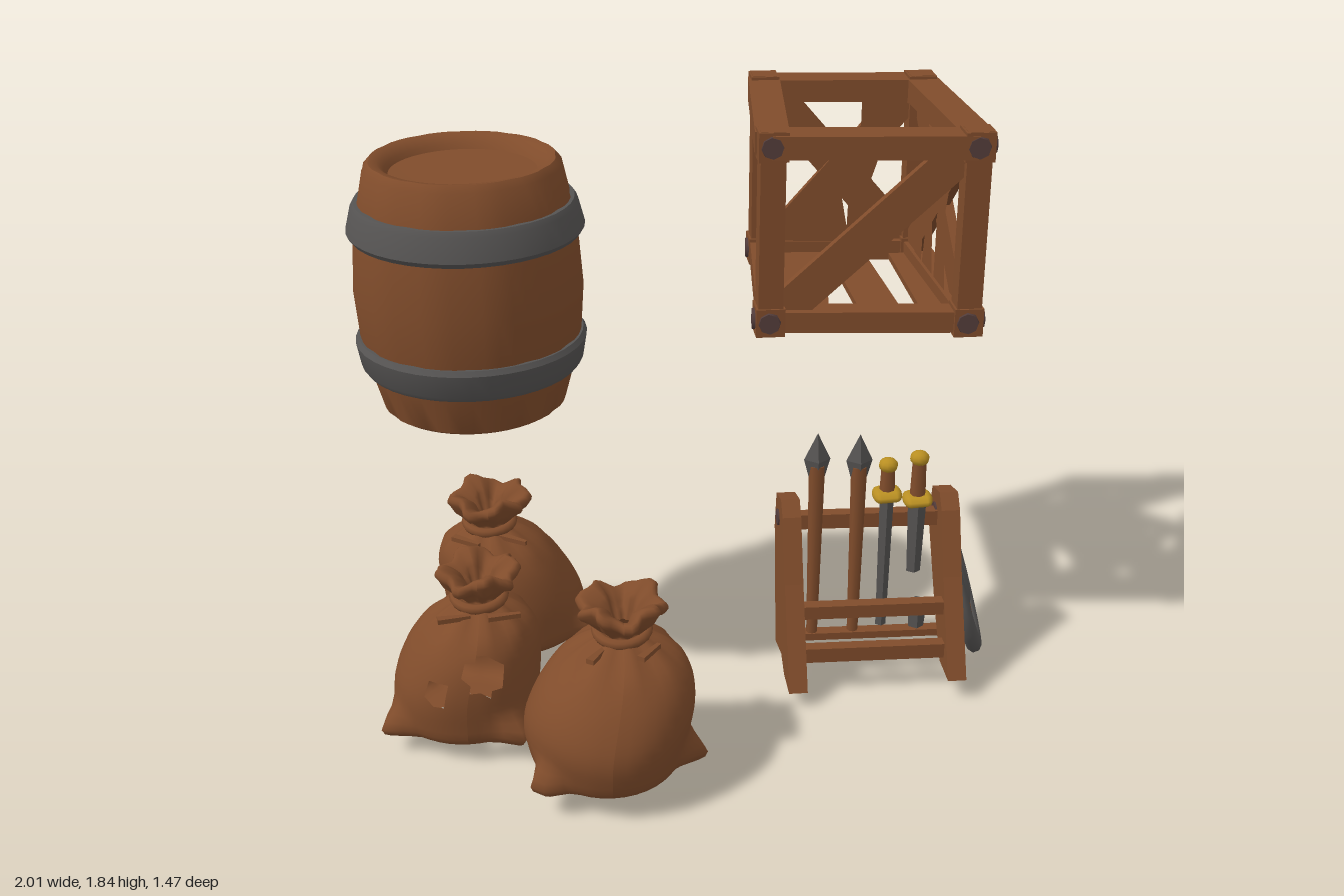
import * as THREE from 'three';
import { toCreasedNormals } from 'three/addons/utils/BufferGeometryUtils.js';

const material = (name, color, side = THREE.FrontSide) => {
  const m = new THREE.MeshStandardMaterial({ color, side });
  m.name = name;
  return m;
};
const V = (x, y, z) => new THREE.Vector3(x, y, z);
const P = (x, y) => new THREE.Vector2(x, y);

export function createModel() {
  const wood = material('brown', 0x804c2b, THREE.DoubleSide);
  const iron = material('iron grey', 0x555352);
  const gold = material('gold', 0xb98f22);
  const nailMat = material('dark nail', 0x523c3a);
  const root = new THREE.Group();

  const group = (name, parent = root) => {
    const g = new THREE.Group();
    g.name = name;
    parent.add(g);
    return g;
  };
  const add = (parent, name, geo, mat, x = 0, y = 0, z = 0) => {
    const m = new THREE.Mesh(geo, mat);
    m.name = name;
    m.position.set(x, y, z);
    parent.add(m);
    return m;
  };
  // Timber running from a to b; taper scales the width of the far end
  const beam = (parent, name, a, b, w, h, taper = 1) => {
    const geo = new THREE.BoxGeometry(w, h, a.distanceTo(b));
    const p = geo.attributes.position;
    for (let i = 0; i < p.count; i++) if (p.getZ(i) > 0) p.setX(i, p.getX(i) * taper);
    geo.computeVertexNormals();
    const m = add(parent, name, geo, wood);
    m.position.copy(a).lerp(b, 0.5);
    m.lookAt(b);
    return m;
  };
  // Removes the faces whose centre lies in one of the [x, y, z, radius] spheres
  const tear = (geo, holes) => {
    const p = geo.attributes.position, src = geo.index.array, kept = [];
    for (let i = 0; i < src.length; i += 3) {
      const c = V(0, 0, 0);
      for (let k = 0; k < 3; k++) c.add(V(0, 0, 0).fromBufferAttribute(p, src[i + k]));
      c.divideScalar(3);
      if (!holes.some(h => c.distanceTo(V(h[0], h[1], h[2])) < h[3])) kept.push(src[i], src[i + 1], src[i + 2]);
    }
    geo.setIndex(kept);
    return geo;
  };

  // Barrel with grooved staves, recessed ends and two hoops
  const barrel = group('barrel');
  barrel.position.set(-0.655, 0, -0.11);
  const staves = new THREE.LatheGeometry([
    P(0, 1.04), P(0.21, 1.05), P(0.23, 1.01), P(0.26, 1), P(0.275, 1.01), P(0.305, 1.12), P(0.33, 1.24),
    P(0.34, 1.38), P(0.33, 1.52), P(0.312, 1.63), P(0.288, 1.74), P(0.27, 1.76), P(0.245, 1.755),
    P(0.225, 1.735), P(0.215, 1.72), P(0, 1.715)], 48);
  const sp = staves.attributes.position;
  for (let i = 0; i < sp.count; i++) {
    const k = Math.round((Math.atan2(sp.getZ(i), sp.getX(i)) / Math.PI / 2) * 48 + 48) % 4;
    if (k === 0 && Math.hypot(sp.getX(i), sp.getZ(i)) > 0.27) {
      sp.setX(i, sp.getX(i) * 0.985);
      sp.setZ(i, sp.getZ(i) * 0.985);
    }
  }
  add(barrel, 'barrelStaves', toCreasedNormals(staves, 0.6), wood);
  for (const [y, lean] of [[1.182, 0.007], [1.592, -0.008]]) {
    add(barrel, 'barrelHoop', toCreasedNormals(new THREE.LatheGeometry([
      P(0.30, -0.05), P(0.33 - lean, -0.05), P(0.34 - lean, -0.035), P(0.338 + lean, 0.035),
      P(0.328 + lean, 0.05), P(0.30, 0.05)], 40), 0.7), iron, 0, y, 0);
  }

  // Crate: plan corners, going round from the front
  const crate = group('crate');
  const corners = [[0.235, -0.05], [0.825, 0.005], [0.795, -0.645], [0.295, -0.685]];
  const lo = 1.25, hi = 1.79, mid = V(0.54, 1.52, -0.34);
  corners.forEach(([x, z], i) => {
    const [nx, nz] = corners[(i + 1) % 4];
    const at = (t, y, inset = 0) => V(x + (nx - x) * t, y, z + (nz - z) * t)
      .lerp(V(mid.x, y, mid.z), inset);
    const front = i === 0;
    beam(crate, 'cratePost', V(x, 1.205, z), V(x, 1.835, z), 0.075, 0.075);
    beam(crate, 'crateTopRail', at(0, hi), at(1, hi), 0.1, 0.07);
    beam(crate, 'crateBottomRail', at(0, lo), at(1, lo), 0.075, 0.065);
    for (const y of [lo, hi]) add(crate, 'crateCorner', new THREE.BoxGeometry(0.088, 0.088, 0.088), wood, x, y, z);
    // Diagonal braces, crossed everywhere but the front, with splintered boards inside
    beam(crate, 'crateBrace', at(0.06, lo + 0.02), at(0.94, hi - 0.02), 0.03, 0.11);
    if (!front) {
      beam(crate, 'crateBrace', at(0.06, hi - 0.02, 0.04), at(0.94, lo + 0.02, 0.04), 0.025, 0.1);
      for (const [t0, y0, t1, y1, w] of [[0.3, lo, 0.36, 1.62, 0.13], [0.55, lo, 0.54, 1.5, 0.13],
        [0.22, hi, 0.3, 1.5, 0.13], [0.75, lo, 0.68, 1.45, 0.09]]) {
        const a = at(t0, y0, 0.1), b = at(t1, y1, 0.1);
        const along = at(1, 0).sub(at(0, 0)).normalize().multiplyScalar(w / 2);
        const board = new THREE.BufferGeometry().setFromPoints([
          a.clone().sub(along), a.clone().add(along), b.clone().addScaledVector(along, 0.45), b.clone().addScaledVector(along, -0.2)]);
        board.setIndex([0, 1, 2, 0, 2, 3]);
        board.computeVertexNormals();
        add(crate, 'crateSplinter', board, wood);
      }
    }
    // Nail heads: all corners of the front and left faces, lower corners elsewhere
    const out = V(-(nz - z), 0, nx - x).normalize();
    for (const t of [0, 1]) for (const y of i < 2 ? [lo, hi] : [lo]) {
      const n = add(crate, 'crateNail', new THREE.CylinderGeometry(0.032, 0.036, 0.014, 8), nailMat);
      n.position.copy(at(t, y)).addScaledVector(out, 0.045);
      n.quaternion.setFromUnitVectors(V(0, 1, 0), out);
    }
  });
  // Broken floor boards
  for (const [x0, x1, z1, w, taper] of [[0.34, 0.4, -0.65, 0.15, 1.4], [0.59, 0.57, -0.65, 0.13, 0.9], [0.76, 0.74, -0.6, 0.1, 0.6]])
    beam(crate, 'crateFloorBoard', V(x0, 1.235, -0.02), V(x1, 1.235, z1), w, 0.02, taper);
  beam(crate, 'crateFloorBoard', V(0.26, 1.23, -0.08), V(0.82, 1.23, -0.04), 0.12, 0.02);

  // Sacks: a lathed body with pulled-out bottom corners and a pleated, tied neck
  const profile = new THREE.SplineCurve([
    P(0, 0.05), P(0.12, 0.045), P(0.21, 0.055), P(0.24, 0.13), P(0.25, 0.22), P(0.23, 0.31), P(0.185, 0.38), P(0.12, 0.43),
    P(0.065, 0.463), P(0.08, 0.49), P(0.125, 0.54), P(0.11, 0.565), P(0.06, 0.535), P(0.03, 0.48)]).getPoints(48);
  profile[0].x = 0;
  const sack = (x, z, dx, dz, size, slump, lift, tips, holes) => {
    const g = group('sack');
    g.position.set(x, lift, z);
    const geo = new THREE.LatheGeometry(profile, 40);
    const p = geo.attributes.position;
    for (let i = 0; i < p.count; i++) {
      const y = p.getY(i), a = Math.atan2(p.getZ(i), p.getX(i));
      let r = Math.hypot(p.getX(i), p.getZ(i)) * size;
      r *= 1 - slump * Math.sin(Math.PI * THREE.MathUtils.clamp((y - 0.08) / 0.4, 0, 1));
      const pleat = THREE.MathUtils.smoothstep(y, 0.34, 0.46);
      r *= 1 + 0.1 * pleat * Math.cos(9 * a) + 0.025 * Math.sin(3 * a + x * 9) * Math.sin(y * 14);
      for (const tip of tips) {
        const d = Math.atan2(Math.sin(a - tip), Math.cos(a - tip));
        r *= 1 + 0.36 * Math.exp(-((d / 0.18) ** 2)) * (1 - THREE.MathUtils.smoothstep(y, 0.07, 0.17));
      }
      const k = THREE.MathUtils.smoothstep(y, 0.15, 0.46);
      const ruffle = y > 0.52 ? 0.016 * Math.sin(4 * a + x * 5) : 0;
      p.setXYZ(i, r * Math.cos(a) + dx * k, y + ruffle, r * Math.sin(a) + dz * k);
    }
    geo.computeVertexNormals();
    add(g, 'sackCloth', tear(geo, holes), wood);
    const tie = add(g, 'sackTie', new THREE.TorusGeometry(0.075, 0.016, 8, 24), wood, dx, 0.465, dz);
    tie.rotation.x = Math.PI / 2 + 0.12;
    for (const s of [-1, 1])
      beam(g, 'sackTieEnd', V(dx + 0.05 * s, 0.465, dz + 0.06), V(dx + 0.1 * s, 0.415, dz + 0.13), 0.025, 0.015, 0.5);
  };
  sack(-0.3, 0.475, 0.05, -0.05, 1, 0, 0.015, [0.12, 2.45], []);
  sack(-0.72, 0.16, 0.05, 0, 0.95, 0.07, 0, [0.9, 2.7, 4.4],
    [[0.06, 0.3, 0.2, 0.06], [-0.1, 0.25, 0.21, 0.045], [0.02, 0.04, 0.03, 0.11]]);
  sack(-0.57, -0.33, -0.07, 0.02, 1, 0.12, 0.005, [0.3, 4, 5.2],
    [[-0.1, 0.3, -0.2, 0.07], [-0.2, 0.2, -0.12, 0.05], [-0.02, 0.04, -0.02, 0.13]]);

  // Weapon rack: two leaning side frames joined by rails
  const rack = group('weaponRack');
  const upper = [P(-0.225, 0.45), P(-0.2, 0.58), P(-0.1, 0.605), P(-0.06, 0.56), P(0.02, 0.36)];
  for (const [x, foot] of [[0.293, [P(0.165, 0.045), P(0.05, 0.045), P(-0.02, 0.08), P(-0.15, 0.05)]],
    [0.808, [P(0.165, 0.06), P(0.04, 0.06), P(-0.07, 0.2)]]]) {
    const geo = new THREE.ExtrudeGeometry(new THREE.Shape([...foot, ...upper]), { depth: 0.06, bevelEnabled: false });
    add(rack, 'rackSide', geo, wood, x + 0.06).rotation.y = -Math.PI / 2;
    for (const dx of [0, 0.06]) {
      const nail = add(rack, 'rackNail', new THREE.CylinderGeometry(0.028, 0.028, 0.012, 8), nailMat, x + dx, 0.52, -0.145);
      nail.rotation.z = Math.PI / 2;
    }
  }
  for (const [y, z, h] of [[0.135, 0.07, 0.05], [0.27, 0.03, 0.045], [0.515, -0.13, 0.05], [0.1, -0.1, 0.025]])
    beam(rack, 'rackRail', V(0.3, y, z), V(0.86, y - 0.008, z), 0.04, h);

  // Spears
  for (const [x, top] of [[0.4, 0.85], [0.535, 0.84]]) {
    const spear = group('spear', rack);
    spear.position.set(x, 0, -0.07);
    add(spear, 'spearShaft', new THREE.CylinderGeometry(0.026, 0.018, top - 0.24, 8), wood, 0, (top + 0.02) / 2, 0);
    const head = add(spear, 'spearHead', toCreasedNormals(new THREE.LatheGeometry([
      P(0, -0.15), P(0.026, -0.15), P(0.042, -0.09), P(0, 0)], 4), 0.3), iron, 0, top, 0);
    head.scale.z = 0.75;
  }

  // Swords hanging point down
  const blade = (parent, width, top, tip, x, z) => {
    const geo = new THREE.CylinderGeometry(width, width * 0.75, top - tip, 4);
    add(parent, 'swordBlade', toCreasedNormals(geo, 0.3), iron, x, (top + tip) / 2, z).scale.z = 0.7;
  };
  for (const [x, z, top, tip, width] of [[0.63, -0.075, 0.75, 0.14, 0.023], [0.72, -0.035, 0.79, 0.36, 0.03]]) {
    const sword = group('sword', rack);
    sword.position.set(x, 0, z);
    add(sword, 'swordPommel', new THREE.SphereGeometry(0.031, 10, 8), gold, 0, top - 0.024, 0).scale.y = 0.8;
    add(sword, 'swordGrip', new THREE.CylinderGeometry(0.022, 0.026, top - 0.65, 8), wood, 0, (top + 0.59) / 2, 0);
    const guard = add(sword, 'swordGuard', new THREE.CapsuleGeometry(0.022, 0.05, 4, 10), gold, 0, 0.622, 0);
    guard.rotation.z = Math.PI / 2 + 0.05;
    guard.scale.z = 2.2;
    blade(sword, width, 0.62, tip, 0, 0);
  }
  blade(rack, 0.033, 0.25, 0.15, 0.74, -0.035);

  // Round shield leaning on the rack, turned a little to the front
  const shield = group('shield');
  shield.position.set(0.915, 0.218, -0.175);
  shield.rotation.set(0, -0.16, -Math.PI / 2 + 0.29, 'YZX');
  add(shield, 'shieldBoard', new THREE.CylinderGeometry(0.18, 0.205, 0.036, 40), wood, 0, -0.006, 0);
  add(shield, 'shieldRim', new THREE.LatheGeometry([
    P(0.2, -0.02), P(0.218, -0.022), P(0.233, -0.008), P(0.23, 0.012), P(0.215, 0.024), P(0.178, 0.026), P(0.172, 0.01)], 40), iron);
  add(shield, 'shieldBoss', new THREE.SphereGeometry(0.074, 24, 8, 0, Math.PI * 2, 0, Math.PI / 2), iron, 0, 0.012, 0).scale.y = 0.25;

  return root;
}
